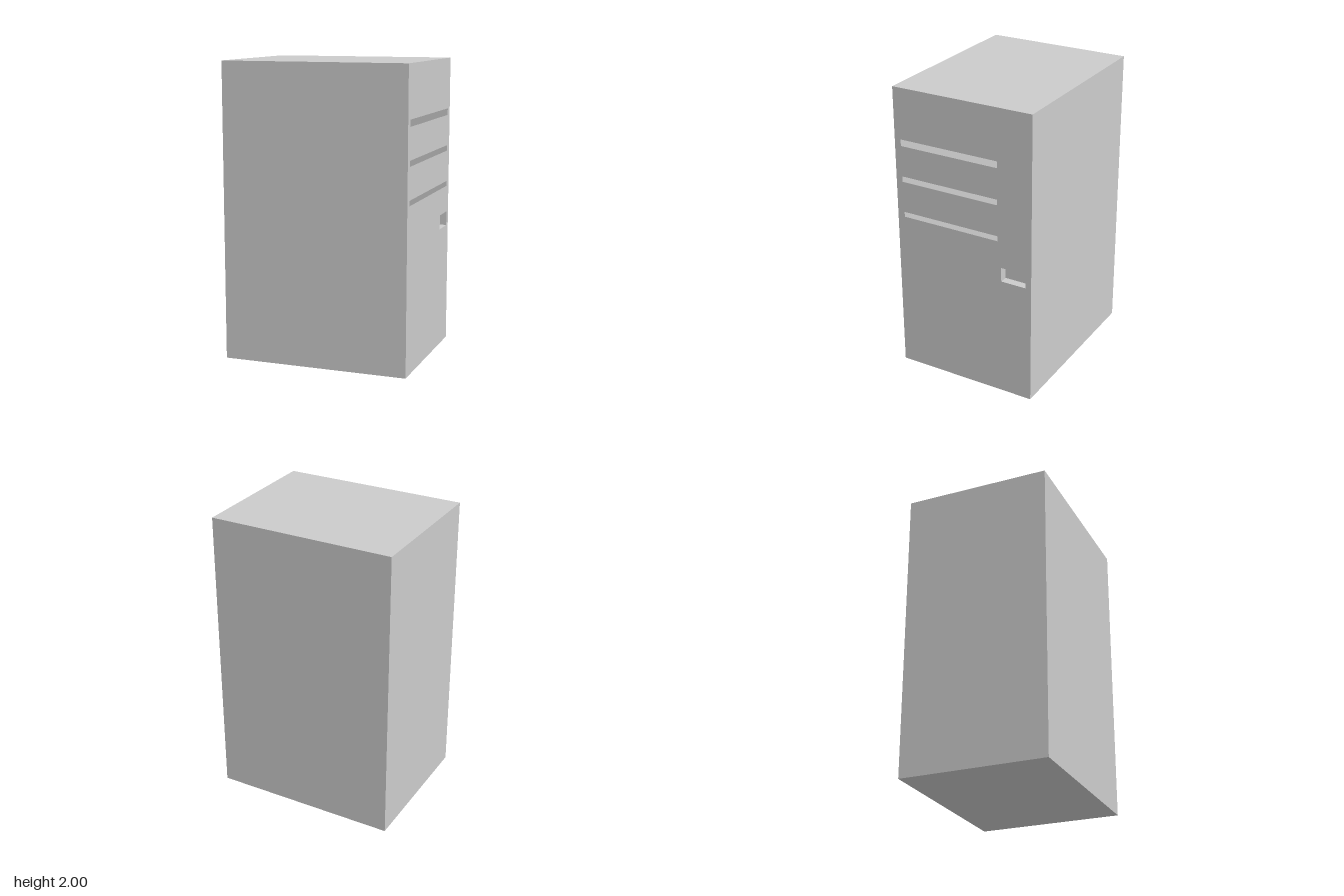
import * as THREE from 'three';

const W = 1.265, H = 2, D = 0.996;
const material = new THREE.MeshStandardMaterial({ color: 0xcccccc, side: THREE.DoubleSide, flatShading: true });

// Openings in the +x side panel, as z and y ranges
const slots = [
  { z0: -0.445, z1: 0.453, y0: 1.608, y1: 1.653 },
  { z0: -0.445, z1: 0.453, y0: 1.359, y1: 1.397 },
  { z0: -0.44, z1: 0.448, y0: 1.11, y1: 1.145 },
];
const grip = { z0: -0.456, z1: -0.281, y0: 0.829, y1: 0.927 };
const gripDepth = 0.055;

// Thin box left open towards +x (the first six indices are that face)
function openBox(name, w, h, d) {
  const geometry = new THREE.BoxGeometry(w, h, d);
  geometry.setIndex(Array.from(geometry.index.array).slice(6));
  const mesh = new THREE.Mesh(geometry, material);
  mesh.name = name;
  return mesh;
}

// Rectangle path; shape x runs along -z once the panel is turned to face +x
function rectangle(path, { z0, z1, y0, y1 }) {
  path.moveTo(-z1, y0);
  path.lineTo(-z0, y0);
  path.lineTo(-z0, y1);
  path.lineTo(-z1, y1);
  path.closePath();
  return path;
}

export function createModel() {
  const group = new THREE.Group();
  group.name = 'cabinet';

  // Hollow casing: top, bottom, front, back and left side
  const casing = openBox('casing', W, H, D);
  casing.position.y = H / 2;
  group.add(casing);

  // Side panel with three see-through vents and the grip opening
  const outline = rectangle(new THREE.Shape(), { z0: -D / 2, z1: D / 2, y0: 0, y1: H });
  outline.holes = [...slots, grip].map((r) => rectangle(new THREE.Path(), r));
  const panel = new THREE.Mesh(new THREE.ShapeGeometry(outline), material);
  panel.name = 'ventedSidePanel';
  panel.rotation.y = Math.PI / 2;
  panel.position.x = W / 2;
  group.add(panel);

  // Shallow closed recess behind the grip opening
  const recess = openBox('gripRecess', gripDepth, grip.y1 - grip.y0, grip.z1 - grip.z0);
  recess.position.set(W / 2 - gripDepth / 2, (grip.y0 + grip.y1) / 2, (grip.z0 + grip.z1) / 2);
  group.add(recess);

  return group;
}
